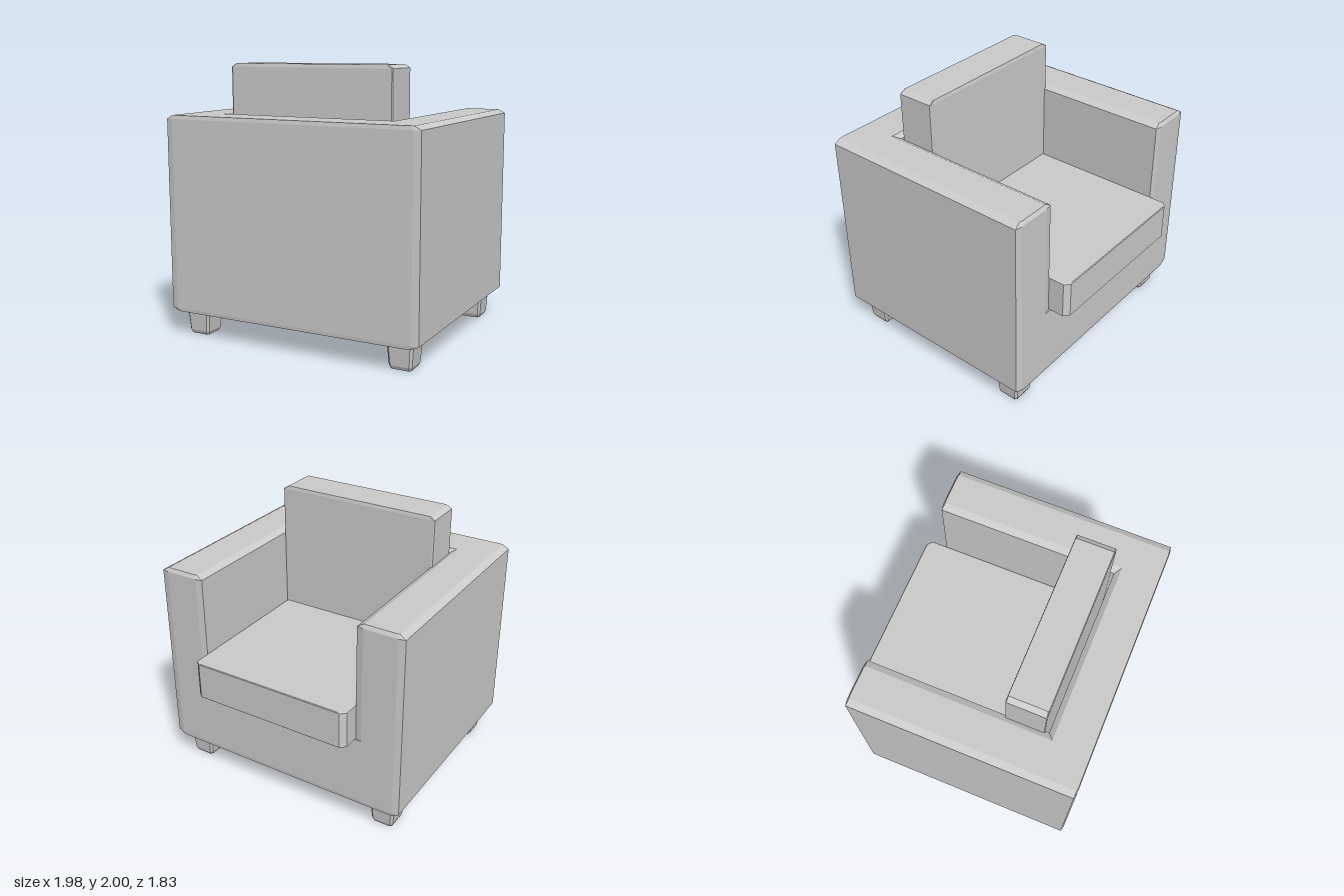
import * as THREE from 'three';

const material = new THREE.MeshStandardMaterial({ color: 0xcccccc, flatShading: true });

// Solid through rings of [x, z] points stacked from low to high: [{ y, points }]
function loft(name, rings) {
  const pos = [];
  const loops = rings.map(({ y, points }) => {
    const loop = points.map(([x, z]) => new THREE.Vector2(x, z));
    if (THREE.ShapeUtils.area(loop) < 0) loop.reverse();
    return { y, loop };
  });
  const put = (r, i) => pos.push(loops[r].loop[i].x, loops[r].y, loops[r].loop[i].y);
  const n = loops[0].loop.length;
  const last = loops.length - 1;
  for (let r = 0; r < last; r++) {
    for (let i = 0; i < n; i++) {
      const j = (i + 1) % n;
      put(r, i); put(r + 1, j); put(r, j);
      put(r, i); put(r + 1, i); put(r + 1, j);
    }
  }
  for (const [a, b, c] of THREE.ShapeUtils.triangulateShape(loops[0].loop, [])) {
    put(0, a); put(0, b); put(0, c);
  }
  for (const [a, b, c] of THREE.ShapeUtils.triangulateShape(loops[last].loop, [])) {
    put(last, a); put(last, c); put(last, b);
  }
  const geometry = new THREE.BufferGeometry();
  geometry.setAttribute('position', new THREE.Float32BufferAttribute(pos, 3));
  geometry.computeVertexNormals();
  const mesh = new THREE.Mesh(geometry, material);
  mesh.name = name;
  return mesh;
}

// Rectangle with its four corners cut by cx along x and cz along z
function cutRect(x0, x1, z0, z1, cx, cz) {
  return [
    [x1, z0 + cz], [x1, z1 - cz], [x1 - cx, z1], [x0 + cx, z1],
    [x0, z1 - cz], [x0, z0 + cz], [x0 + cx, z0], [x1 - cx, z0],
  ];
}

// U-shaped outline of arms and back, open towards -z
function armOutline(half, inner, front, back, innerBack, cx, cz) {
  const side = [
    [half - cx, back], [half, back - cz], [half, front + cz], [half - cx, front],
    [inner + cx, front], [inner, front + cz], [inner, innerBack],
  ];
  const mirrored = side.map(([x, z]) => [-x, z]).reverse();
  return [...side, ...mirrored];
}

// Box cushion with bevels of cx, cy, cz along each axis
function cushion(name, [x0, x1], [y0, y1], [z0, z1], [cx, cy, cz], corner) {
  const full = cutRect(x0, x1, z0, z1, ...corner);
  const small = cutRect(x0 + cx, x1 - cx, z0 + cz, z1 - cz, ...corner);
  return loft(name, [
    { y: y0, points: small },
    { y: y0 + cy, points: full },
    { y: y1 - cy, points: full },
    { y: y1, points: small },
  ]);
}

export function createModel() {
  const chair = new THREE.Group();
  chair.name = 'armchair';

  // Base below the seat
  const base = cutRect(-0.99, 0.99, -0.77, 0.91, 0.05, 0.01);
  chair.add(loft('base', [
    { y: 0.185, points: cutRect(-0.935, 0.935, -0.767, 0.907, 0.02, 0.005) },
    { y: 0.21, points: base },
    { y: 0.73, points: base },
  ]));

  // Arms and back in one piece, bevelled along the top
  const arms = armOutline(0.99, 0.635, -0.77, 0.91, 0.59, 0.05, 0.01);
  chair.add(loft('armsAndBack', [
    { y: 0.73, points: arms },
    { y: 1.608, points: arms },
    { y: 1.635, points: armOutline(0.94, 0.685, -0.755, 0.905, 0.63, 0.02, 0.005) },
  ]));

  // Cushions
  chair.add(cushion('seatCushion', [-0.638, 0.632], [0.73, 1.015], [-0.915, 0.585],
    [0.01, 0.005, 0.005], [0.04, 0.035]));
  chair.add(cushion('backCushion', [-0.653, 0.637], [0.95, 2], [0.275, 0.565],
    [0.04, 0.025, 0.005], [0.008, 0.005]));

  // Tapered feet
  const footRing = (h, c) => cutRect(-h, h, -h, h, c, c);
  for (const x of [-0.82, 0.82]) {
    for (const z of [-0.605, 0.735]) {
      const foot = loft('foot', [
        { y: 0, points: footRing(0.074, 0.012) },
        { y: 0.025, points: footRing(0.085, 0.016) },
        { y: 0.19, points: footRing(0.098, 0.018) },
      ]);
      foot.position.set(x, 0, z);
      chair.add(foot);
    }
  }
  return chair;
}
